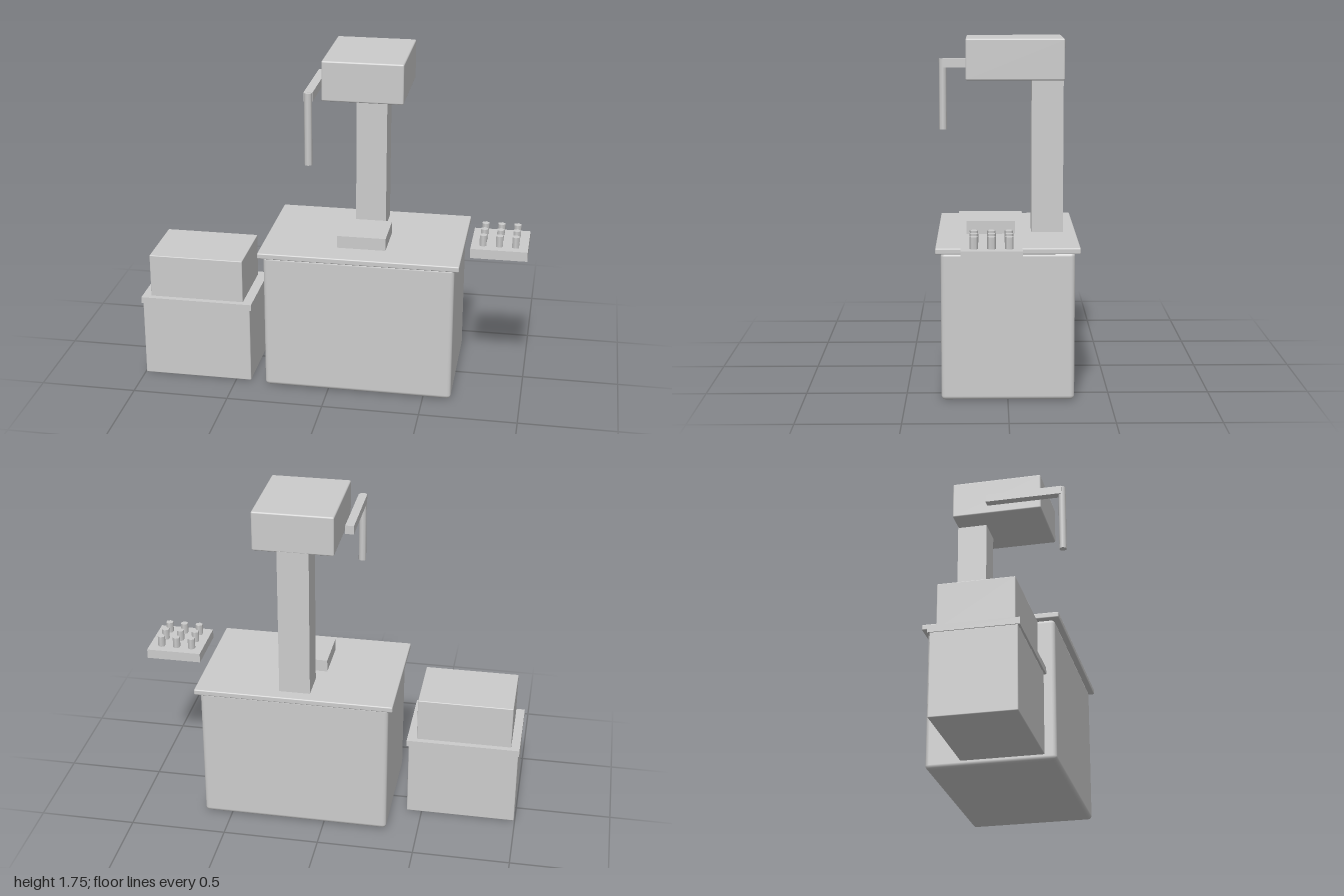
import * as THREE from 'three';
import { RoundedBoxGeometry } from 'three/addons/geometries/RoundedBoxGeometry.js';

const material = new THREE.MeshStandardMaterial({ color: 0xcccccc });

// Box given by its extents on each axis; radius rounds the edges
function box(name, [x0, x1], [y0, y1], [z0, z1], radius = 0) {
  const size = [x1 - x0, y1 - y0, z1 - z0];
  const geometry = radius
    ? new RoundedBoxGeometry(...size, 2, radius)
    : new THREE.BoxGeometry(...size);
  const mesh = new THREE.Mesh(geometry, material);
  mesh.name = name;
  mesh.position.set((x0 + x1) / 2, (y0 + y1) / 2, (z0 + z1) / 2);
  return mesh;
}

// Upright rod standing between two heights
function rod(name, radius, sides, x, [y0, y1], z) {
  const mesh = new THREE.Mesh(new THREE.CylinderGeometry(radius, radius, y1 - y0, sides), material);
  mesh.name = name;
  mesh.position.set(x, (y0 + y1) / 2, z);
  return mesh;
}

function group(name, ...parts) {
  const g = new THREE.Group();
  g.name = name;
  g.add(...parts);
  return g;
}

export function createModel() {
  // Main cabinet with its worktop
  const cabinet = group('cabinet',
    box('cabinetBody', [-0.335, 0.645], [0.005, 0.738], [-0.325, 0.325], 0.02),
    box('worktop', [-0.36, 0.67], [0.735, 0.765], [-0.35, 0.35], 0.006),
    box('stagePlate', [0.03, 0.28], [0.765, 0.83], [-0.04, 0.205]));

  // Column, overhanging head and the side arm with its hanging probe
  const tower = group('tower',
    box('column', [0.075, 0.235], [0.765, 1.55], [-0.285, -0.125]),
    box('head', [-0.05, 0.36], [1.545, 1.75], [-0.285, 0.205], 0.008),
    box('armBar', [-0.114, -0.07], [1.58, 1.625], [-0.085, 0.33]),
    rod('armProbe', 0.02, 8, -0.092, [1.255, 1.624], 0.33));

  // Side unit: base, lid and upper housing
  const sideUnit = group('sideUnit',
    box('sideBase', [-0.995, -0.42], [0, 0.415], [-0.125, 0.285], 0.005),
    box('sideLid', [-1, -0.41], [0.412, 0.445], [-0.135, 0.295]),
    box('sideHousing', [-0.955, -0.46], [0.44, 0.675], [-0.105, 0.265], 0.004));

  // Tray with a three by three set of hexagonal pegs
  const tray = group('tray', box('trayPlate', [0.712, 1], [0.765, 0.815], [-0.063, 0.222]));
  for (let i = 0; i < 3; i++) {
    for (let j = 0; j < 3; j++) {
      tray.add(rod('trayPeg', 0.02, 6, 0.772 + i * 0.082, [0.81, 0.872], -0.002 + j * 0.082));
    }
  }

  return group('workstation', cabinet, tower, sideUnit, tray);
}
